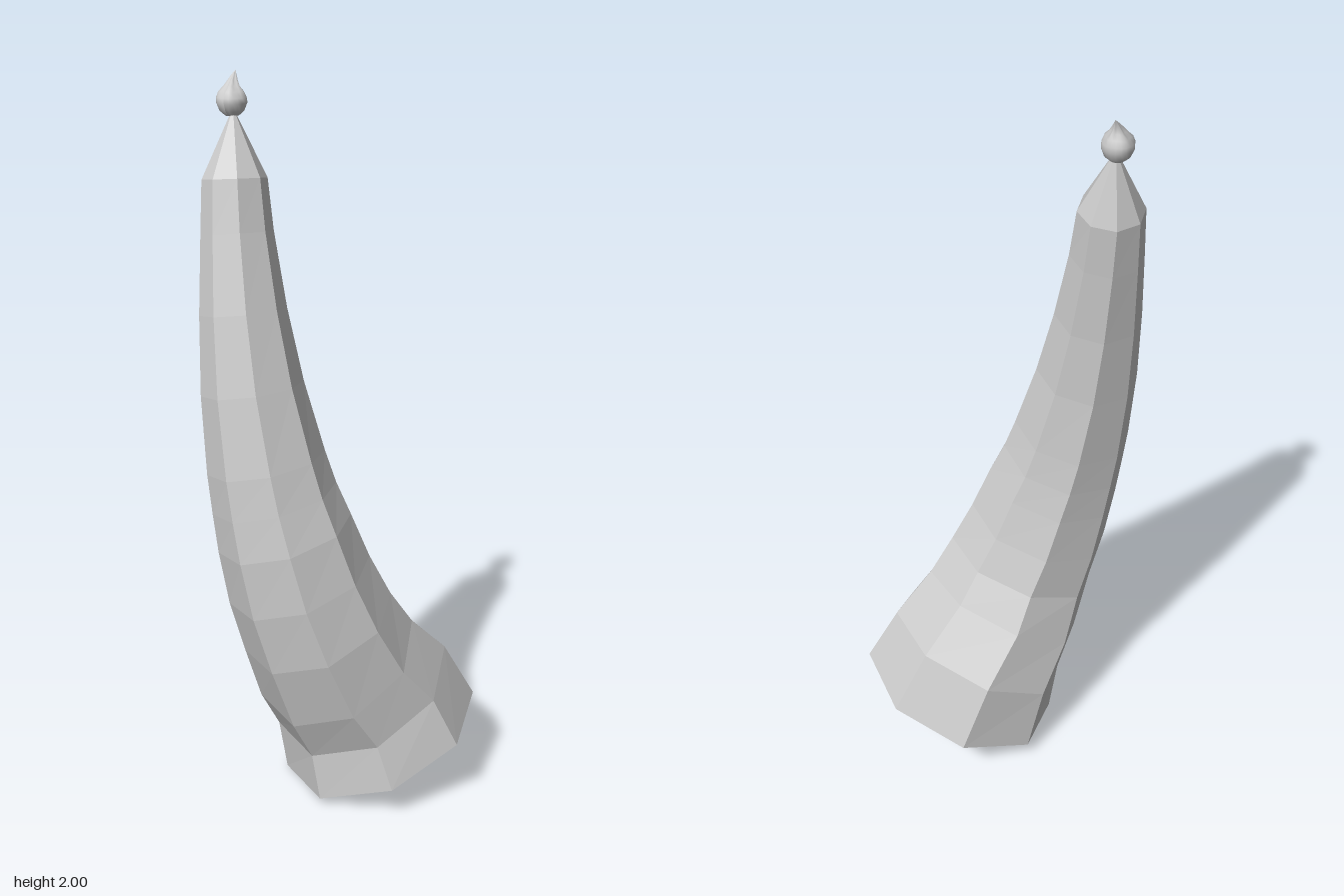
import * as THREE from 'three';

const SIDES = 8;

// Rings of the horn from the open base to the shoulder: centre x, y, z and radius
const RINGS = [
  [0.075, 0.114, -0.073, 0.295],
  [0.033, 0.27, -0.035, 0.266],
  [-0.005, 0.39, 0.05, 0.24],
  [-0.033, 0.525, 0.108, 0.217],
  [-0.07, 0.66, 0.142, 0.202],
  [-0.102, 0.8, 0.163, 0.186],
  [-0.128, 0.9, 0.17, 0.171],
  [-0.15, 1.0, 0.173, 0.16],
  [-0.19, 1.2, 0.168, 0.137],
  [-0.223, 1.4, 0.15, 0.115],
  [-0.252, 1.6, 0.122, 0.095],
  [-0.267, 1.735, 0.103, 0.085],
];
const APEX = new THREE.Vector3(-0.285, 1.91, 0.072);
const BASE_NORMAL = new THREE.Vector3(-0.29, 0.92, 0.26).normalize();

// Octagonal rings swept along the curved axis, closed to a point at the top
function hornGeometry() {
  const centres = RINGS.map(([x, y, z]) => new THREE.Vector3(x, y, z));
  const axis = new THREE.CatmullRomCurve3(centres);
  const last = RINGS.length - 1;
  const positions = [];
  const index = [];

  centres.forEach((centre, i) => {
    const t = i / last;
    const normal = i === 0 ? BASE_NORMAL : axis.getTangent(t);
    const a = new THREE.Vector3(1, 0.2, 0.27 - 0.12 * t);
    a.addScaledVector(normal, -a.dot(normal)).normalize();
    const b = new THREE.Vector3().crossVectors(normal, a);
    for (let k = 0; k < SIDES; k++) {
      const angle = (k / SIDES) * Math.PI * 2;
      const p = centre.clone()
        .addScaledVector(a, RINGS[i][3] * Math.cos(angle))
        .addScaledVector(b, RINGS[i][3] * Math.sin(angle));
      positions.push(p.x, p.y, p.z);
    }
  });
  positions.push(APEX.x, APEX.y, APEX.z);

  const apexIndex = RINGS.length * SIDES;
  for (let i = 0; i <= last; i++) {
    for (let k = 0; k < SIDES; k++) {
      const p = i * SIDES + k;
      const q = i * SIDES + ((k + 1) % SIDES);
      if (i === last) index.push(p, q, apexIndex);
      else index.push(p, q, q + SIDES, p, q + SIDES, p + SIDES);
    }
  }

  const geometry = new THREE.BufferGeometry();
  geometry.setAttribute('position', new THREE.Float32BufferAttribute(positions, 3));
  geometry.setIndex(index);
  geometry.computeVertexNormals();
  return geometry;
}

// Small bulb drawn up into a pleated, bent point
function finialGeometry() {
  const profile = [
    [0, -0.04], [0.018, -0.036], [0.032, -0.024], [0.04, -0.004], [0.039, 0.01],
    [0.031, 0.025], [0.019, 0.038], [0.011, 0.052], [0.005, 0.065], [0, 0.075],
  ].map(([x, y]) => new THREE.Vector2(x, y));
  const geometry = new THREE.LatheGeometry(profile, 20);
  const pos = geometry.attributes.position;
  for (let i = 0; i < pos.count; i++) {
    const y = pos.getY(i);
    const rise = Math.max(0, (y - 0.005) / 0.07);
    const angle = Math.atan2(pos.getZ(i), pos.getX(i));
    const pleat = 1 + 0.25 * Math.min(1, rise * 1.5) * Math.cos(5 * angle);
    pos.setXYZ(i,
      pos.getX(i) * pleat - 0.003 * rise,
      y,
      pos.getZ(i) * pleat - 0.027 * rise * rise);
  }
  geometry.computeVertexNormals();
  return geometry;
}

export function createModel() {
  const model = new THREE.Group();
  model.name = 'curvedHorn';

  const horn = new THREE.Mesh(hornGeometry(), new THREE.MeshStandardMaterial({
    color: 0xcccccc, flatShading: true, side: THREE.DoubleSide,
  }));
  horn.name = 'horn';

  const finial = new THREE.Mesh(finialGeometry(), new THREE.MeshStandardMaterial({
    color: 0xcccccc, side: THREE.DoubleSide,
  }));
  finial.name = 'tipFinial';
  finial.position.set(-0.291, 1.925, 0.067);

  model.add(horn, finial);
  return model;
}
